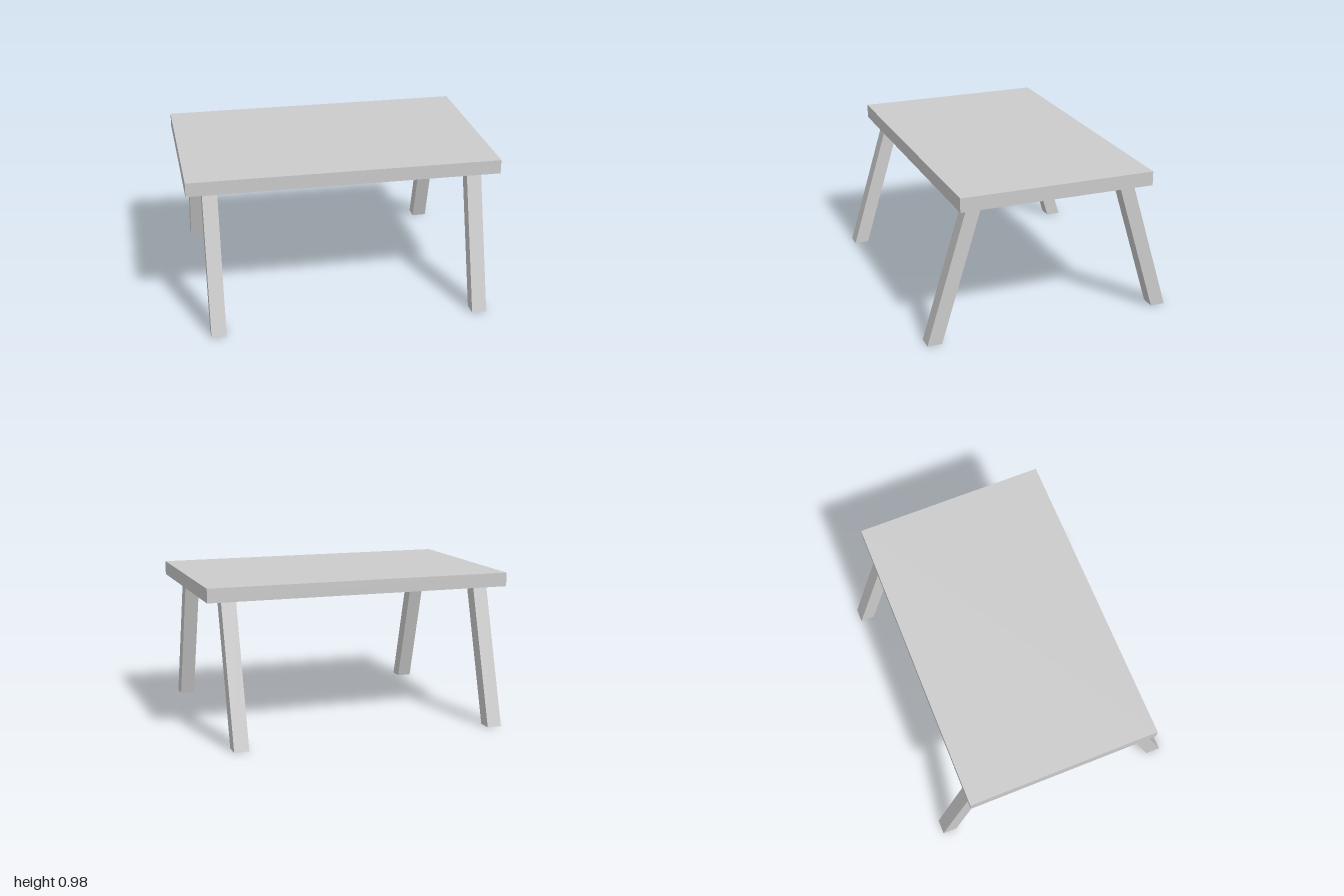
import * as THREE from 'three';

const TOP_Y = 0.89;      // underside of the table top
const TOP_THICK = 0.09;
const LEG = 0.095;       // leg section
const FOOT_Z = 0.767;    // leg centre at the floor
const HEAD_Z = 0.499;    // leg centre under the top

// Square leg sheared along z so both ends stay level
function legGeometry(side) {
  const geo = new THREE.BoxGeometry(LEG, TOP_Y, LEG);
  geo.translate(0, TOP_Y / 2, 0);
  const pos = geo.attributes.position;
  for (let i = 0; i < pos.count; i++) {
    const lean = THREE.MathUtils.lerp(FOOT_Z, HEAD_Z, pos.getY(i) / TOP_Y);
    pos.setZ(i, pos.getZ(i) + side * lean);
  }
  geo.computeVertexNormals();
  return geo;
}

export function createModel() {
  const model = new THREE.Group();
  model.name = 'table';
  const material = new THREE.MeshStandardMaterial({ color: 0xcccccc, flatShading: true });

  // Table top
  const top = new THREE.Mesh(new THREE.BoxGeometry(2, TOP_THICK, 1.256), material);
  top.name = 'tableTop';
  top.position.y = TOP_Y + TOP_THICK / 2;
  model.add(top);

  // Four legs splayed to front and back
  for (const [zName, zSide] of [['front', 1], ['back', -1]]) {
    for (const [xName, xSide] of [['Left', 1], ['Right', -1]]) {
      const leg = new THREE.Mesh(legGeometry(zSide), material);
      leg.name = `${zName}${xName}Leg`;
      leg.position.x = xSide * 0.848;
      model.add(leg);
    }
  }
  return model;
}
